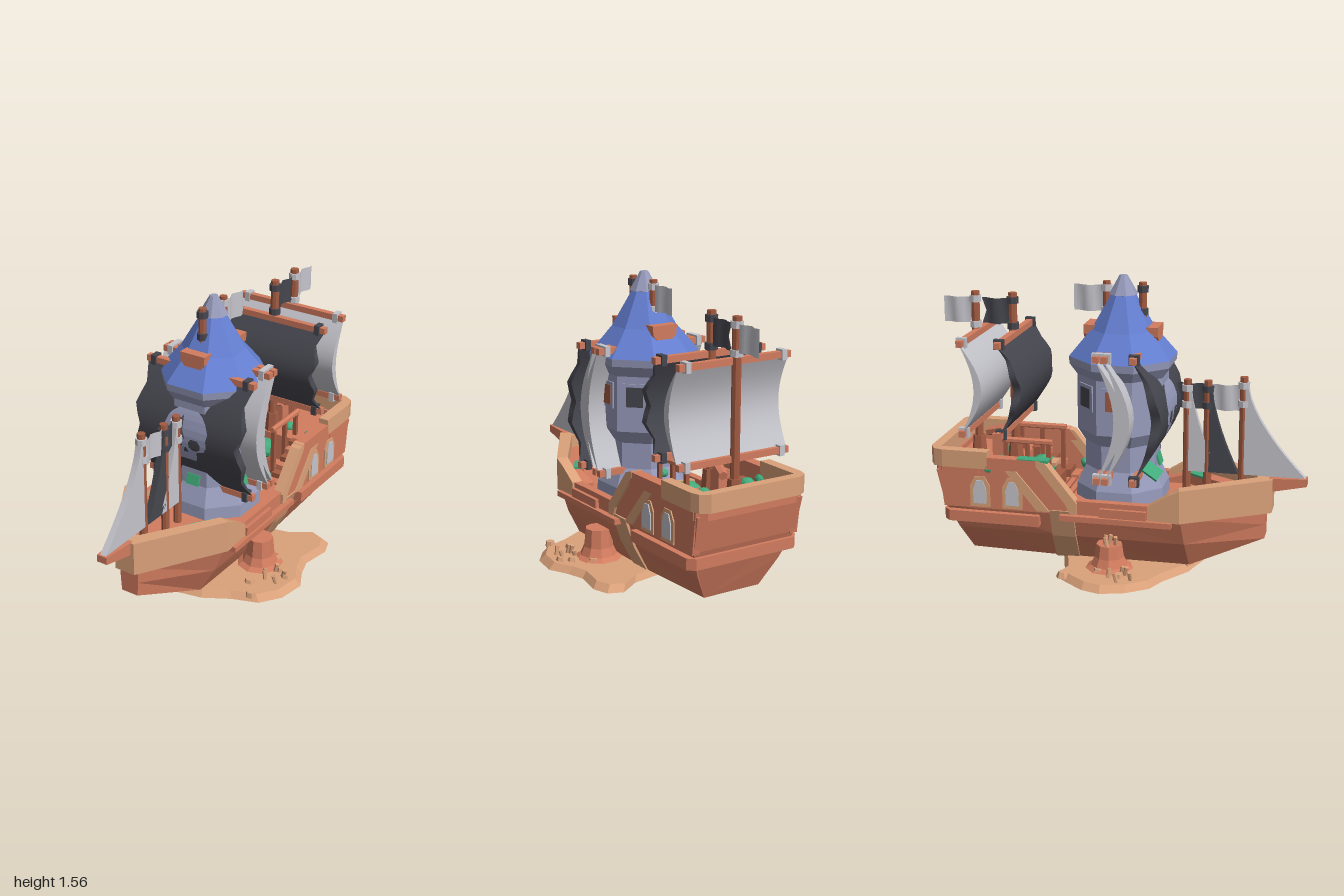
import * as THREE from 'three';

const mat = (name, color) => Object.assign(new THREE.MeshStandardMaterial({ color }), { name });

export function createModel() {
  const M = {
    wood: mat('redWood', 0xd27c5f), tan: mat('paleWood', 0xdaa17a), mast: mat('darkWood', 0xa35c43),
    blue: mat('roofBlue', 0x647ed0), stone: mat('towerStone', 0x979bbb), dark: mat('blackCloth', 0x46464f),
    light: mat('greyCloth', 0xc5c5cc), green: mat('green', 0x42aa7b),
  };
  M.dark.side = M.light.side = M.stone.side = THREE.DoubleSide;
  const root = new THREE.Group();

  // ---- helpers ----
  const add = (name, geo, m, p = [0, 0, 0], r = [0, 0, 0], smooth = false) => {
    if (!smooth) { geo = geo.index ? geo.toNonIndexed() : geo; geo.computeVertexNormals(); }
    const mesh = new THREE.Mesh(geo, m);
    mesh.name = name; mesh.position.set(...p); mesh.rotation.set(...r);
    root.add(mesh);
  };
  const box = (name, m, w, h, d, p, r) => add(name, new THREE.BoxGeometry(w, h, d), m, p, r);
  const pole = (name, m, r0, r1, h, p, r, n = 8) => add(name, new THREE.CylinderGeometry(r1, r0, h, n), m, p, r);
  const sides = f => [1, -1].forEach(f);
  const shape = pts => new THREE.Shape(pts.map(p => new THREE.Vector2(...p)));
  // horizontal slab from [x, z] outline
  const slab = (pts, y0, y1) => new THREE.ExtrudeGeometry(shape(pts.map(([x, z]) => [x, -z])),
    { depth: y1 - y0, bevelEnabled: false }).rotateX(-Math.PI / 2).translate(0, y0, 0);
  // upright plate from [z, y] outline, centred on x
  const plate = (pts, x, t) => new THREE.ExtrudeGeometry(shape(pts.map(([z, y]) => [-z, y])),
    { depth: t, bevelEnabled: false }).rotateY(Math.PI / 2).translate(x - t / 2, 0, 0);
  // skin between closed rings, with both ends capped
  const loft = rings => {
    const v = [], tri = (...p) => p.forEach(q => v.push(...q)), n = rings[0].length;
    for (let i = 0; i < rings.length - 1; i++) for (let j = 0; j < n; j++) {
      const a = rings[i], b = rings[i + 1], k = (j + 1) % n;
      tri(a[j], b[j], a[k]); tri(a[k], b[j], b[k]);
    }
    const f = rings[0], e = rings[rings.length - 1];
    for (let j = 1; j < n - 1; j++) { tri(f[0], f[j], f[j + 1]); tri(e[0], e[j + 1], e[j]); }
    return new THREE.BufferGeometry().setAttribute('position', new THREE.Float32BufferAttribute(v, 3));
  };
  // symmetric ring from half points, bottom to top
  const ring = half => [...half, ...half.map(([x, y, z]) => [-x, y, z]).reverse()];
  // wall of [xOuter, zOuter, xInner, zInner, yBottom, yTop], mirrored; starts on +x, heading to the ship's end
  const wall = (path, heading) => {
    const full = [...path, ...path.map(([a, b, c, d, e, f]) => [-a, b, -c, d, e, f]).reverse()];
    return loft(full.map(([xo, zo, xi, zi, y0, y1]) => {
      const r = [[xo, y0, zo], [xi, y0, zi], [xi, y1, zi], [xo, y1, zo]];
      return heading > 0 ? r : r.reverse();
    }));
  };
  const morph = (geo, f) => {
    const p = geo.attributes.position;
    for (let i = 0; i < p.count; i++) p.setXYZ(i, ...f(p.getX(i), p.getY(i), p.getZ(i), i));
    geo.computeVertexNormals();
    return geo;
  };

  // ---- island ----
  const shore = [[-0.36, -0.24], [-0.43, -0.26], [-0.49, -0.19], [-0.56, -0.1], [-0.59, 0], [-0.55, 0.13], [-0.47, 0.24], [-0.36, 0.29],
    [-0.2, 0.4], [0, 0.46], [0.2, 0.42], [0.34, 0.34], [0.48, 0.29], [0.56, 0.18], [0.585, 0.03], [0.53, -0.08],
    [0.5, -0.18], [0.53, -0.34], [0.5, -0.43], [0.42, -0.46], [0.3, -0.38], [0.1, -0.34], [-0.15, -0.3]];
  add('island', morph(slab(shore, 0.002, 0.037), (x, y, z) => y > 0.02 ? [x * 0.94, y, z * 0.94] : [x, y, z]), M.tan);
  add('islandUnderside', slab(shore.map(([x, z]) => [x * 0.6, z * 0.6]), 0, 0.004), M.wood);
  sides(s => {
    const top = s > 0 ? 0.2 : 0.17;
    const prof = [[0.14, 0.03], [0.1, 0.055], [0.08, 0.1], [0.07, top], [0, top]];
    add('rockMound', new THREE.LatheGeometry(prof.map(p => new THREE.Vector2(...p)), 9), M.wood, [s * 0.3, 0, -0.01]);
  });
  [[-0.44, -0.23], [-0.38, -0.05], [-0.43, 0.07], [0.37, -0.07], [0.45, 0], [0.5, 0.04], [0.36, 0.19], [0.43, 0.29], [-0.15, 0.39]]
    .forEach(([x, z], i) => pole('pebble', M.tan, 0.038 - 0.003 * (i % 4), 0.024, 0.03, [x, i ? 0.042 : 0.03, z], [0, i, 0], 6));
  for (let i = 0; i < 14; i++) {
    const s = i % 2 ? 1 : -1, a = i * 2.4, onRock = i > 9;
    const p = onRock ? [-0.33 + 0.025 * Math.cos(a), 0.19, 0.03 * Math.sin(a)] : [s * 0.45 + 0.05 * Math.cos(a), 0.055, 0.08 + 0.06 * Math.sin(a)];
    pole('coral', M.tan, 0.01, 0.012, 0.06, p, [0.25 * Math.cos(a), 0, 0.25 * Math.sin(a)], 6);
  }

  // ---- hull ----
  add('hull', loft([
    ring([[0.05, 0.17, 0.785], [0.055, 0.25, 0.785], [0.06, 0.34, 0.785]]),
    ring([[0.18, 0.035, 0.4], [0.26, 0.18, 0.385], [0.318, 0.34, 0.37]]),
    ring([[0.19, 0.035, -0.3], [0.265, 0.18, -0.3], [0.318, 0.34, -0.3]]),
    ring([[0.17, 0.035, -0.81], [0.25, 0.18, -0.865], [0.315, 0.34, -0.92]]),
  ]), M.wood);
  add('hullRib', loft([-0.2, -0.33].map(z => ring([[0.195, 0.03, z], [0.277, 0.178, z], [0.332, 0.34, z]]))), M.tan);
  add('bowBulwark', wall([[0.335, 0.2, 0.275, 0.2, 0.32, 0.4], [0.335, 0.31, 0.275, 0.31, 0.32, 0.47],
    [0.335, 0.37, 0.275, 0.355, 0.32, 0.5], [0.06, 0.82, 0.03, 0.735, 0.32, 0.505]], 1), M.tan);
  add('bowLedge', wall([[0.28, 0.2, 0.2, 0.2, 0.33, 0.38], [0.28, 0.355, 0.2, 0.335, 0.33, 0.42],
    [0.035, 0.745, 0.02, 0.6, 0.33, 0.43]], 1), M.wood);
  add('deck', slab([[-0.3, -0.6], [-0.3, 0.36], [-0.04, 0.74], [0.04, 0.74], [0.3, 0.36], [0.3, -0.6]], 0.32, 0.36), M.wood);
  add('bowsprit', loft([ring([[0.03, 0.47, 1], [0.03, 0.51, 1]]), ring([[0.042, 0.43, 0.8], [0.042, 0.505, 0.8]])]), M.wood);
  for (let i = 0; i < 7; i++) box('deckPlank', M.mast, 0.34, 0.006, 0.008, [0, 0.361, -0.26 - i * 0.04]);

  // ---- aft castle ----
  add('aftCastle', loft([ring([[0.31, 0.33, -0.56], [0.31, 0.52, -0.56]]),
    ring([[0.31, 0.33, -0.92], [0.32, 0.52, -0.96]])]), M.wood);
  add('sternLip', wall([[0.325, -0.72, 0.27, -0.72, 0.5, 0.55], [0.325, -0.93, 0.27, -0.9, 0.5, 0.55],
    [0.27, -0.975, 0.25, -0.93, 0.5, 0.55]], -1), M.wood);
  add('sternRail', wall([[0.335, -0.67, 0.275, -0.67, 0.545, 0.64], [0.335, -0.92, 0.275, -0.92, 0.545, 0.64],
    [0.32, -0.97, 0.275, -0.943, 0.545, 0.64], [0.27, -1, 0.25, -0.943, 0.545, 0.64]], -1), M.tan);
  add('sternRub', wall([[0.335, -0.39, 0.27, -0.39, 0.24, 0.3], [0.335, -0.89, 0.27, -0.85, 0.24, 0.3],
    [0.3, -0.925, 0.25, -0.86, 0.24, 0.3]], -1), M.wood);
  sides(s => {
    add('sideWall', plate([[0.2, 0.32], [0.2, 0.4], [-0.2, 0.4], [-0.36, 0.56], [-0.95, 0.56], [-0.92, 0.32]], s * 0.3, 0.045), M.wood);
    add('aftRail', plate([[-0.33, 0.545], [-0.38, 0.61], [-0.68, 0.61], [-0.68, 0.545]], s * 0.305, 0.06), M.wood);
    add('railBrace', plate([[-0.18, 0.39], [-0.35, 0.6], [-0.4, 0.615], [-0.4, 0.58], [-0.24, 0.38], [-0.22, 0.33], [-0.18, 0.33]], s * 0.307, 0.06), M.tan);
    add('sideBrace', plate([[-0.33, 0.33], [-0.56, 0.6], [-0.62, 0.6], [-0.4, 0.33]], s * 0.31, 0.045), M.tan);
    box('rubRail', M.wood, 0.05, 0.03, 0.6, [s * 0.332, 0.31, 0.03]);
    box('midRubBlock', M.wood, 0.05, 0.055, 0.25, [s * 0.318, 0.345, 0.07]);
    // arched windows
    [-0.535, -0.715].forEach(z => [[0.055, 0.325, M.tan], [0.036, 0.331, M.light]].forEach(([w, x, m], i) => {
      const b = 0.33 + i * 0.02, t = 0.5 - i * 0.02;
      add(i ? 'windowPane' : 'windowFrame', plate([[z - w, b], [z - w, t - 0.05], [z - w * 0.5, t],
        [z + w * 0.5, t], [z + w, t - 0.05], [z + w, b]], s * x, 0.009), m);
    }));
    // stairs
    for (let i = 0; i < 6; i++) box('stair', i % 2 ? M.mast : M.wood, 0.12, 0.03 * (i + 1), 0.045, [s * 0.225, 0.345 + 0.015 * (i + 1), -0.32 - i * 0.045]);
    pole('deckRail', M.wood, 0.017, 0.017, 0.28, [s * 0.15, 0.66, -0.5], [Math.PI / 2, 0, 0], 6);
    [-0.38, -0.5, -0.62].forEach(z => box('railPost', M.mast, 0.022, 0.28, 0.022, [s * 0.15, 0.52, z]));
  });
  box('hatch', M.mast, 0.2, 0.08, 0.14, [0, 0.39, -0.42]);
  box('hatchRim', M.tan, 0.1, 0.02, 0.04, [0, 0.5, -0.39]);
  box('helmStand', M.wood, 0.07, 0.14, 0.07, [0, 0.58, -0.7]);
  pole('helm', M.wood, 0.025, 0.03, 0.16, [0.02, 0.66, -0.71], [1.3, 0, 0.3], 6);

  // ---- tower ----
  const octagon = (name, m, pts) => add(name, new THREE.LatheGeometry(pts.map(([r, y]) => new THREE.Vector2(r * 1.082, y)), 8)
    .rotateY(Math.PI / 8), m);
  octagon('tower', M.stone, [[0.24, 0.34], [0.235, 0.43], [0.19, 0.53], [0.19, 0.67], [0.23, 0.74], [0.23, 1.04]]);
  octagon('eave', M.stone, [[0.225, 1.03], [0.268, 1.095], [0.272, 1.135]]);
  octagon('roof', M.blue, [[0.272, 1.134], [0.16, 1.275], [0.055, 1.47]]);
  octagon('roofTip', M.stone, [[0.05, 1.455], [0.072, 1.46], [0.02, 1.56], [0, 1.56]]);
  // windows on the sides and back of the tower
  [2, 3, 4, 5, 6].forEach(i => {
    const a = i * Math.PI / 4, at = r => [r * Math.sin(a), 0.93, r * Math.cos(a)];
    box('towerWindowFrame', M.stone, 0.13, 0.14, 0.02, at(0.228), [0, a, 0]);
    box('towerWindow', i % 4 === 2 ? M.mast : M.dark, 0.09, 0.105, 0.008, at(0.238), [0, a, 0]);
  });
  // brackets under the roof masts
  [0.08, -0.2].forEach(z => add('roofBracket', new THREE.ExtrudeGeometry(
    shape([[-0.045, 1.22], [0.045, 1.22], [0.072, 1.25], [0.075, 1.3], [-0.075, 1.3], [-0.072, 1.25]]),
    { depth: 0.12, bevelEnabled: false }), M.wood, [0, 0, z]));

  // ---- masts, yards, sails, flags ----
  const mast = (z, y0, y1, r, clampMat, clamps) => {
    pole('mast', M.mast, r, r, y1 - y0, [0, (y0 + y1) / 2, z]);
    clamps.forEach(y => pole('mastBand', clampMat, r + 0.009, r + 0.009, 0.035, [0, y, z]));
  };
  const flag = (m, z, y, len, notch) => add('flag', morph(new THREE.PlaneGeometry(1, 1, 6, 2), (u, v) => {
    const t = u + 0.5;
    return [0.012 * Math.sin(t * 9), y + v * 0.14, z - len * (t - (notch && t > 0.99 && Math.abs(v) < 0.1 ? 0.15 : 0))];
  }), m, undefined, undefined, true);
  // padded square sail: fuller in front than behind, optionally with ragged sides
  const squareSail = (m, z, y0, y1, d, ragged) => {
    add('squareSail', morph(new THREE.BoxGeometry(2, 1, 1, 1, 12, 1), (u, v, w) => {
      const t = v + 0.5, row = Math.round(t * 12);
      const half = 0.334 - (ragged ? [0, 0.018, 0.036, 0.018][row % 4] : 0);
      return [u * half, y0 + t * (y1 - y0), z + d * Math.sin(Math.PI * t) * (w > 0 ? 1 : 0.64)];
    }), m, undefined, undefined, true);
    [y0, y1].forEach(y => {
      box('yard', M.wood, 0.67, 0.034, 0.034, [0, y, z]);
      sides(s => box('yardClamp', m, 0.03, 0.054, 0.054, [s * 0.288, y, z]));
    });
  };
  squareSail(M.dark, 0.12, 0.52, 1.175, 0.145, true);
  squareSail(M.light, -0.03, 0.52, 1.175, 0.135, false);
  squareSail(M.light, -0.075, 0.52, 1.175, 0.15, false);
  squareSail(M.dark, -0.6, 0.73, 1.22, 0.12, true);
  squareSail(M.light, -0.805, 0.73, 1.22, 0.115, false);
  mast(-0.61, 0.5, 1.44, 0.024, M.dark, [1.4, 1.26]);
  mast(-0.82, 0.5, 1.44, 0.024, M.light, [1.4, 1.26]);
  [-0.61, -0.82].forEach(z => pole('mastFoot', M.mast, 0.045, 0.035, 0.12, [0, 0.57, z], undefined, 6));
  flag(M.dark, -0.62, 1.335, 0.165, true);
  flag(M.light, -0.83, 1.335, 0.17, false);
  mast(0.105, 1.24, 1.525, 0.021, M.dark, [1.49, 1.37]);
  mast(-0.09, 1.24, 1.525, 0.021, M.light, [1.49, 1.37]);
  flag(M.light, -0.1, 1.43, 0.17, false);
  mast(0.65, 0.42, 1.045, 0.022, M.light, [1, 0.9]);
  mast(0.46, 0.38, 1.015, 0.022, M.dark, [0.97, 0.88]);
  mast(0.35, 0.38, 1.015, 0.022, M.light, [0.97, 0.88]);
  flag(M.light, 0.64, 0.925, 0.16, false);
  flag(M.dark, 0.45, 0.925, 0.165, true);
  // triangular bow sails: [mast z, foot z, top y]
  [[M.light, 0.65, 0.99, 0.99], [M.dark, 0.46, 0.63, 0.96], [M.light, 0.35, 0.53, 0.96]].forEach(([m, z, foot, top]) =>
    add('jib', morph(new THREE.BoxGeometry(0.036, 1, 1, 1, 8, 1), (x, v, w) => {
      const t = v + 0.5, reach = 0.025 + (foot - z - 0.025) * Math.pow(1 - t, 1.5);
      return [x, 0.51 + t * (top - 0.51), z + (w + 0.5) * reach];
    }), m, undefined, undefined, true));

  // ---- skull painted on the front sail: rows of [y, half width] ----
  const painted = (name, m, rows, cx, lift) => add(name, morph(new THREE.PlaneGeometry(2, 1, 1, rows.length - 1), (u, v, _, i) => {
    const [y, w] = rows[Math.floor(i / 2)];
    return [cx + u * w, y, 0.12 + 0.145 * Math.sin(Math.PI * (y - 0.52) / 0.655) + lift];
  }), m);
  painted('skull', M.stone, [[1, 0.06], [0.98, 0.09], [0.95, 0.115], [0.9, 0.135], [0.86, 0.125], [0.82, 0.128], [0.79, 0.11],
    [0.775, 0.065], [0.74, 0.06], [0.71, 0.05]], 0, 0.005);
  sides(s => painted('skullEye', M.dark, [[0.85, 0.02], [0.83, 0.036], [0.8, 0.034], [0.785, 0.012]], s * 0.055, 0.009));
  painted('skullNose', M.dark, [[0.795, 0.004], [0.765, 0.016]], 0, 0.009);

  // ---- greenery and cloths ----
  box('greenCloth', M.green, 0.09, 0.012, 0.1, [-0.15, 0.54, 0.19], [0.6, 0, 0.4]);
  box('greenCloth', M.green, 0.08, 0.06, 0.012, [0, 0.565, 0.2], [-0.3, 0, 0]);
  box('greenCloth', M.green, 0.07, 0.012, 0.13, [0.175, 0.43, 0.39], [0, -0.6, 0]);
  box('greenCloth', M.green, 0.06, 0.014, 0.17, [-0.305, 0.608, -0.42]);
  box('greenCloth', M.green, 0.012, 0.08, 0.05, [0.205, 0.55, 0.02], [0, 0, 0.3]);
  [[0.03, 0.47, -0.46, 0.075], [-0.2, 0.53, -0.66, 0.04], [-0.1, 0.53, -0.66, 0.03], [0.08, 0.53, -0.67, 0.035], [0.22, 0.53, -0.65, 0.022],
    [-0.29, 0.54, -0.67, 0.04], [0.18, 0.44, -0.25, 0.03], [0.02, 0.51, -0.215, 0.03]].forEach(([x, y, z, r], i) =>
    add('bush', new THREE.IcosahedronGeometry(r, 1).scale(1, 0.8, 1), M.green, [x, y, z], [0, i, 0]));
  return root;
}
